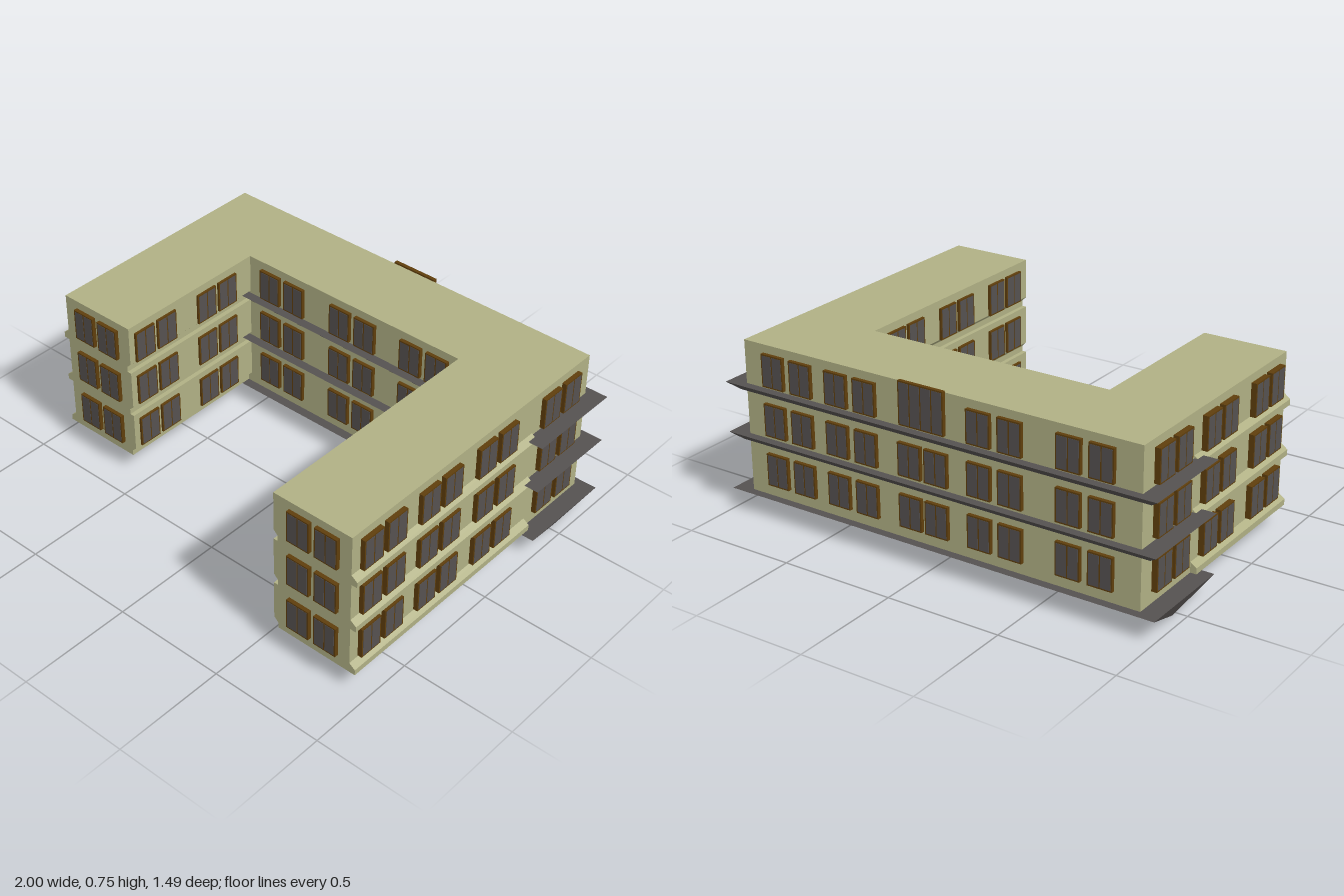
import * as THREE from 'three';

const material = (name, color) => {
  const m = new THREE.MeshStandardMaterial({ color });
  m.name = name;
  return m;
};

export function createModel() {
  const wall = material('olive plaster', 0xb0b084);
  const slate = material('dark slate', 0x555150);
  const brown = material('brown frame', 0x5f3e0c);
  const root = new THREE.Group();
  root.name = 'building';

  const add = (parent, name, geo, mat, x = 0, y = 0, z = 0) => {
    const mesh = new THREE.Mesh(geo, mat);
    mesh.name = name;
    mesh.position.set(x, y, z);
    parent.add(mesh);
    return mesh;
  };

  const floors = [0.09, 0.308, 0.525];
  const top = 0.745;
  const backZ = -0.708, courtZ = -0.347, midZ = -0.525;

  // Rear block
  add(root, 'rearBlock', new THREE.BoxGeometry(1.84, top - 0.09, courtZ - backZ), wall,
    0, (top + 0.09) / 2, (courtZ + backZ) / 2);

  // Side wings: each floor starts with a step shifted outwards
  function wing(name, side, inner, endZ) {
    const edge = (x, shift) => floors.flatMap((b, i) => [
      [x + shift, b], [x + shift, b + 0.025], [x, b + 0.045], [x, floors[i + 1] ?? top],
    ]);
    const outline = [...edge(0.92, 0.027), ...edge(inner, 0.02).reverse()];
    const shape = new THREE.Shape(outline.map(([x, y]) => new THREE.Vector2(side * x, y)));
    const geo = new THREE.ExtrudeGeometry(shape, { depth: endZ - courtZ, bevelEnabled: false });
    add(root, name, geo, wall, 0, 0, courtZ);
  }
  wing('leftWing', 1, 0.55, 0.73);
  wing('rightWing', -1, 0.555, 0.37);

  // Slate slabs that narrow towards the bottom
  function slab(name, y0, y1, bottomX, bottomZ) {
    const geo = new THREE.BoxGeometry(2, y1 - y0, 0.44);
    const p = geo.attributes.position;
    for (let i = 0; i < p.count; i++) {
      if (p.getY(i) < 0) {
        p.setX(i, Math.sign(p.getX(i)) * bottomX);
        p.setZ(i, Math.sign(p.getZ(i)) * bottomZ);
      }
    }
    const flat = geo.toNonIndexed();
    flat.computeVertexNormals();
    add(root, name, flat, slate, 0, (y0 + y1) / 2, midZ);
  }
  slab('base', 0, 0.0895, 0.95, 0);
  slab('lowerCanopy', 0.307, 0.341, 0.955, 0.184);
  slab('upperCanopy', 0.525, 0.559, 0.955, 0.184);

  // Framed window with upright panes, sitting on a wall plane
  function makeWindow(parent, x, y, w, h, depth, panes = 2) {
    const g = new THREE.Group();
    g.name = 'window';
    g.position.set(x, y, 0);
    parent.add(g);
    add(g, 'frame', new THREE.BoxGeometry(w, h, depth), brown, 0, 0, depth / 2);
    const bar = 0.006;
    const pw = (w - bar * (panes + 1)) / panes;
    for (let i = 0; i < panes; i++) {
      add(g, 'pane', new THREE.BoxGeometry(pw, h - 2 * bar, 0.002), slate,
        -w / 2 + bar + pw / 2 + i * (pw + bar), 0, depth);
    }
  }

  const rows = [0.21, 0.4275, 0.64];
  function facade(name, x, z, angle, depth, centres, spacing = 0.066) {
    const g = new THREE.Group();
    g.name = name;
    g.position.set(x, 0, z);
    g.rotation.y = angle;
    root.add(g);
    for (const y of rows)
      for (const c of centres)
        for (const s of [-1, 1]) makeWindow(g, c + s * spacing, y, 0.107, 0.14, depth);
    return g;
  }

  const q = Math.PI / 2;
  // Facing front (local x = x)
  facade('leftWingEndWindows', 0, 0.73, 0, 0.017, [0.745]);
  facade('rightWingEndWindows', 0, 0.37, 0, 0.017, [-0.737]);
  facade('courtyardWindows', 0, courtZ, 0, 0.016, [-0.368, 0.017, 0.387]);
  // Facing +x (local x = -z)
  facade('leftOuterWindows', 0.92, 0, q, 0.02, [-0.564, -0.238, 0.105, 0.516]);
  facade('rightInnerWindows', -0.555, 0, q, 0.01, [0.135, -0.225], 0.062);
  // Facing -x (local x = z)
  facade('rightOuterWindows', -0.92, 0, -q, 0.024, [-0.516, -0.175, 0.2], 0.064);
  facade('leftInnerWindows', 0.55, 0, -q, 0.012, [-0.15, 0.2, 0.555], 0.064);
  // Facing back (local x = -x)
  const rear = facade('rearWindows', 0, backZ, Math.PI, 0.016,
    [0.685, 0.29, -0.383, -0.7], 0.07);
  // Middle rear windows; the top one is wide and rises to the roof
  for (const y of rows.slice(0, 2))
    for (const s of [-1, 1]) makeWindow(rear, -0.04 + s * 0.062, y, 0.107, 0.14, 0.016);
  makeWindow(rear, -0.04, 0.661, 0.21, 0.182, 0.016, 4);

  return root;
}
